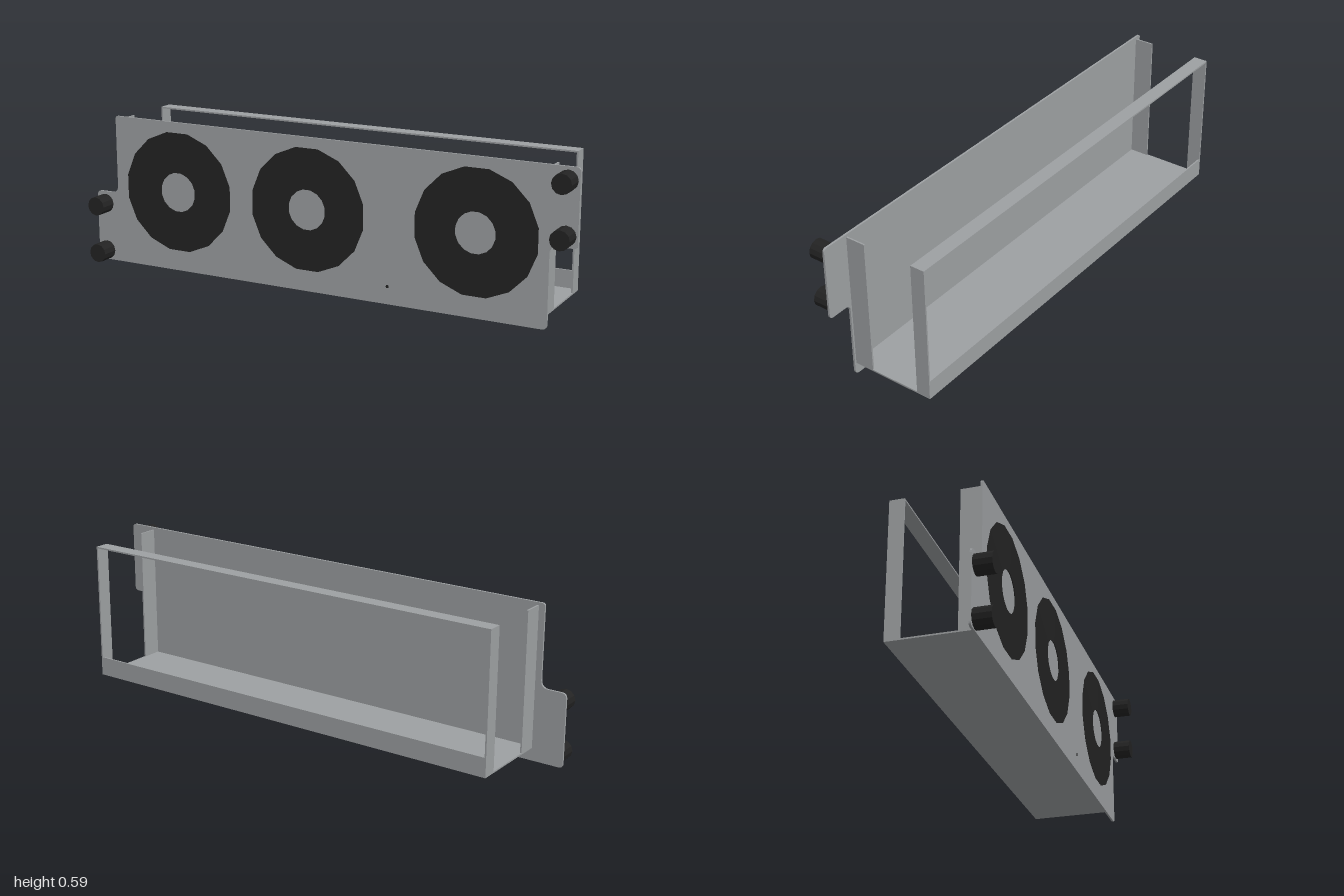
import * as THREE from 'three';

const steel = new THREE.MeshStandardMaterial({ color: 0x9da0a2 });
steel.name = 'greySteel';
const black = new THREE.MeshStandardMaterial({ color: 0x232323 });
black.name = 'blackPlastic';

// Polygon outline with rounded corners; each point is [x, y, radius]
function roundedOutline(points) {
  const shape = new THREE.Shape();
  const n = points.length;
  points.forEach(([x, y, r], i) => {
    const p = new THREE.Vector2(x, y);
    const toward = ([qx, qy]) => new THREE.Vector2(qx, qy).sub(p).setLength(r).add(p);
    const a = toward(points[(i + n - 1) % n]);
    const b = toward(points[(i + 1) % n]);
    if (i === 0) shape.moveTo(a.x, a.y);
    else shape.lineTo(a.x, a.y);
    shape.quadraticCurveTo(x, y, b.x, b.y);
  });
  shape.closePath();
  return shape;
}

export function createModel() {
  const model = new THREE.Group();
  model.name = 'rackPanelTray';

  const add = (name, geometry, material) => {
    const mesh = new THREE.Mesh(geometry, material);
    mesh.name = name;
    model.add(mesh);
    return mesh;
  };
  // Box given by its limits on each axis
  const plate = (name, [x0, x1], [y0, y1], [z0, z1]) =>
    add(name, new THREE.BoxGeometry(x1 - x0, y1 - y0, z1 - z0), steel)
      .position.set((x0 + x1) / 2, (y0 + y1) / 2, (z0 + z1) / 2);

  // Front panel with one offset mounting ear at each end
  const outline = roundedOutline([
    [-1, 0, 0.015], [0.9, 0, 0.02], [0.9, 0.305, 0.025], [1, 0.305, 0.015],
    [1, 0.59, 0.015], [-0.9, 0.59, 0.012], [-0.9, 0.28, 0.03], [-1, 0.28, 0.02],
  ]);
  const panel = new THREE.ExtrudeGeometry(outline, { depth: 0.008, bevelEnabled: false, curveSegments: 5 });
  add('frontPanel', panel, steel).position.z = 0.128;

  // Folded sheet tray: floor, front flanges, rear frame
  const T = 0.006, L = -0.877, R = 0.893, bottom = 0.048, top = 0.58, back = -0.203;
  const rear = [back, -0.147];
  plate('trayFloor', [L, R], [bottom, bottom + T], [back, 0.128]);
  plate('rearLip', [L, R], [bottom + T, 0.122], [back, back + T]);
  plate('rearTopBar', [L, R], [top - T, top], rear);
  for (const [side, x] of [['right', [L, L + T]], ['left', [R - T, R]]]) {
    plate(side + 'FrontFlange', x, [bottom + T, top], [0.051, 0.128]);
    plate(side + 'RearUpright', x, [bottom + T, top - T], rear);
  }

  // Flat, slightly dished rings on the panel
  const ringProfile = [[0.238, 0], [0.238, 0.001], [0.078, 0.003], [0.078, 0]]
    .map(([r, h]) => new THREE.Vector2(r, h));
  const ringGeometry = new THREE.LatheGeometry(ringProfile, 16, Math.PI / 16).toNonIndexed();
  ringGeometry.computeVertexNormals();
  for (const x of [-0.615, -0.048, 0.625]) {
    const ring = add('panelRing', ringGeometry, black);
    ring.rotation.x = Math.PI / 2;
    ring.position.set(x, 0.315, 0.136);
  }

  // Thumb screws on the ears
  const knobGeometry = new THREE.CylinderGeometry(0.037, 0.037, 0.067, 12).toNonIndexed();
  knobGeometry.computeVertexNormals();
  for (const [x, y] of [[0.957, 0.542], [0.957, 0.347], [-0.962, 0.232], [-0.962, 0.04]]) {
    const knob = add('thumbScrew', knobGeometry, black);
    knob.rotation.x = Math.PI / 2;
    knob.position.set(x, y, 0.1695);
  }

  // Tiny indicator on the panel
  const dot = add('indicatorDot', new THREE.CylinderGeometry(0.006, 0.006, 0.003, 8), black);
  dot.rotation.x = Math.PI / 2;
  dot.position.set(0.285, 0.068, 0.137);

  return model;
}
